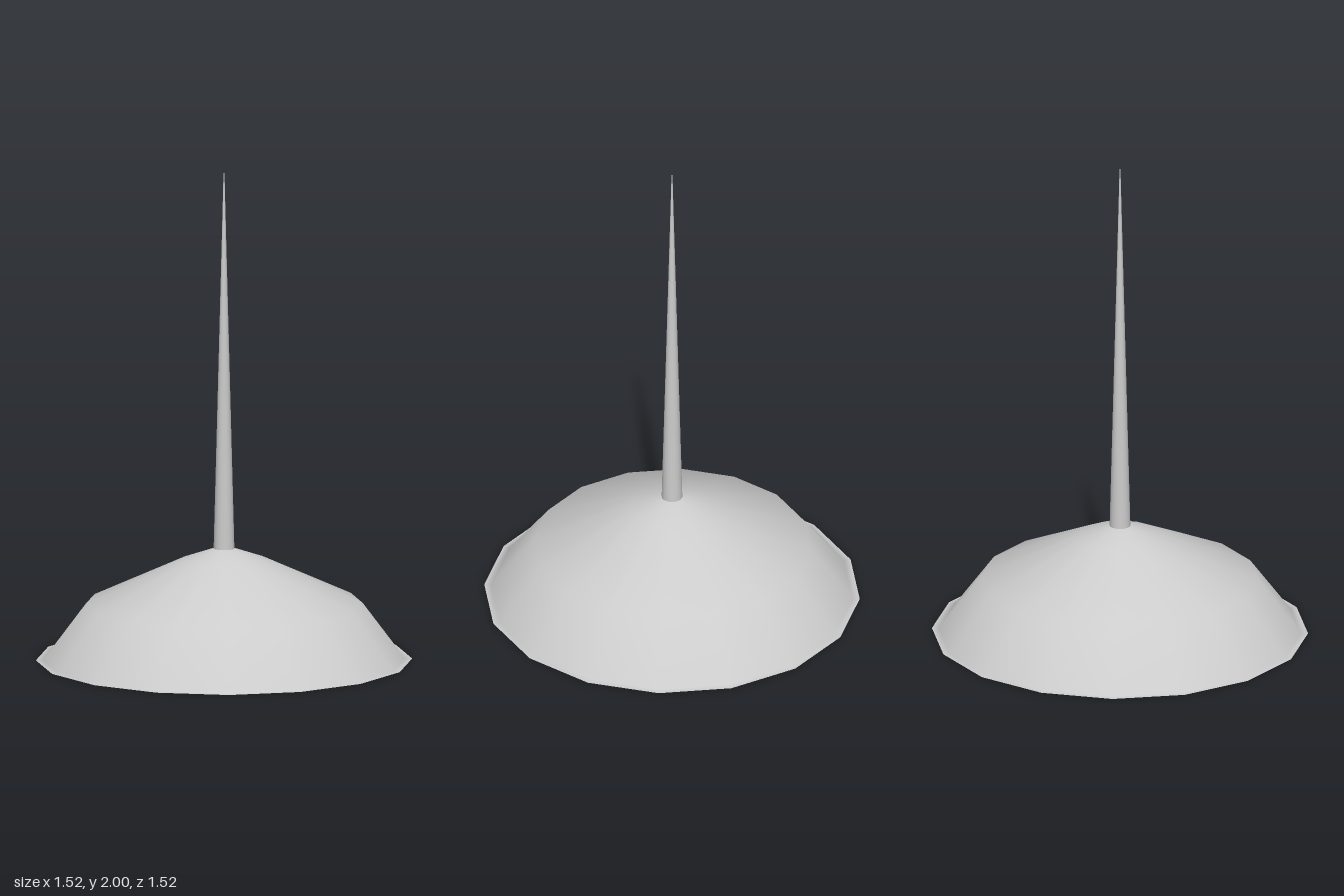
import * as THREE from 'three';

const SIDES = 16;

// Smooth surface of revolution from [radius, height] pairs, bottom to top
function turned(name, profile, material) {
  const points = profile.map(([r, y]) => new THREE.Vector2(r, y));
  const mesh = new THREE.Mesh(new THREE.LatheGeometry(points, SIDES), material);
  mesh.name = name;
  return mesh;
}

export function createModel() {
  const group = new THREE.Group();
  group.name = 'spikedDome';
  const material = new THREE.MeshStandardMaterial({ color: 0xcccccc, side: THREE.DoubleSide });

  // Open, thin dome with a narrow flat lip around its foot
  group.add(turned('dome', [
    [0.76, 0], [0.732, 0], [0.56, 0.23], [0.17, 0.412], [0.042, 0.457], [0, 0.46],
  ], material));

  // Long tapering spike on the crown
  const base = 0.457;
  const spike = new THREE.Mesh(
    new THREE.CylinderGeometry(0.002, 0.042, 2 - base, SIDES), material);
  spike.position.y = (2 + base) / 2;
  spike.name = 'spike';
  group.add(spike);

  return group;
}
